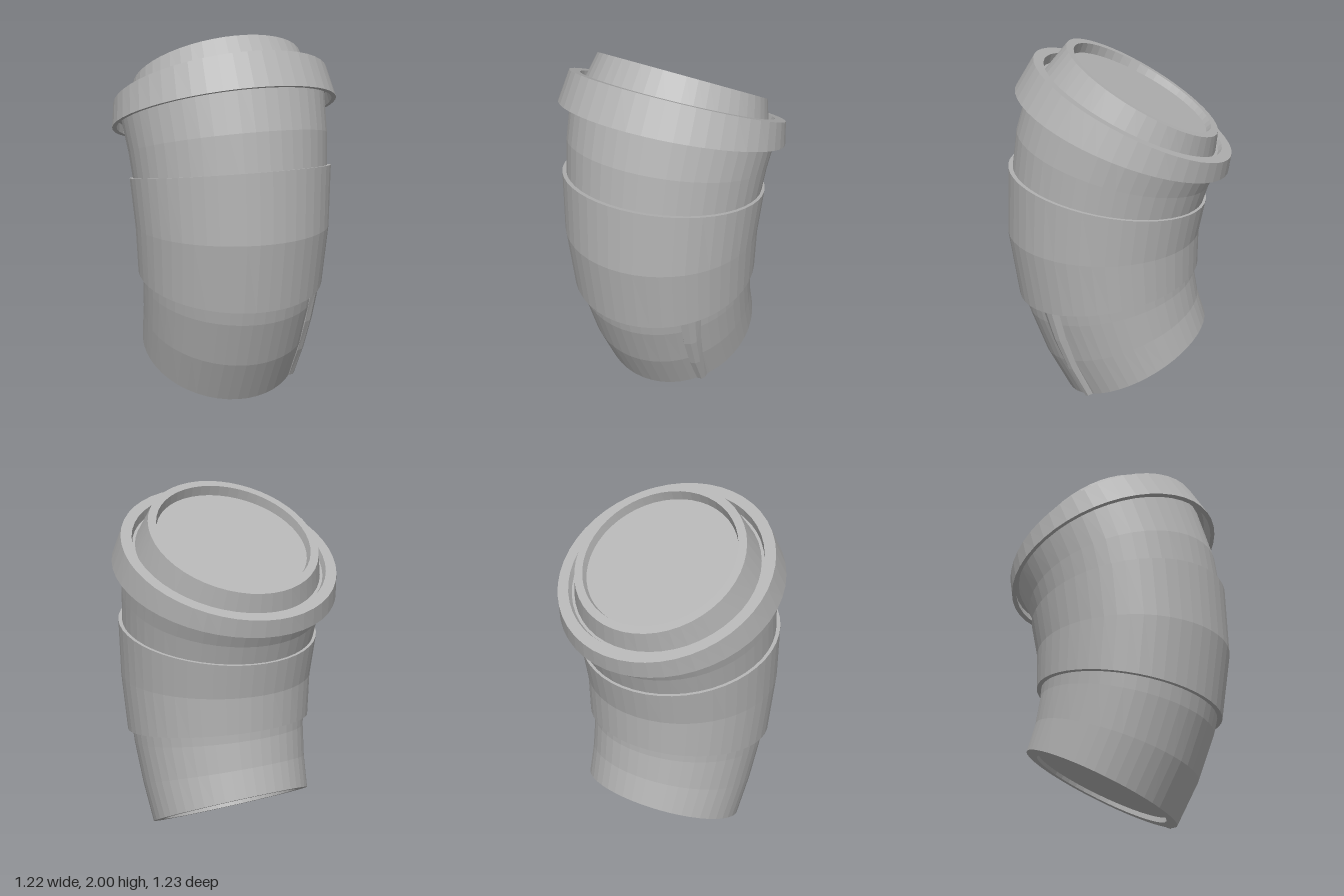
import * as THREE from 'three';

// The cup is built straight, with y as the arc length, then bent along a circular arc.
const R = 1.63;                                  // bend radius of the centre line
const MID = new THREE.Vector3(-0.05, 0.958, 0.08); // middle of the centre line
const D = { x: -0.51, z: 0.86 };                 // direction in which the cup bulges
const SIDES = 48;

function bend(geometry) {
  const p = geometry.attributes.position;
  for (let i = 0; i < p.count; i++) {
    const x = p.getX(i), z = p.getZ(i), a = p.getY(i) / R;
    const u = x * D.x + z * D.z;                 // along the bulge
    const v = x * D.z - z * D.x;                 // across the bulge
    const out = (R + u) * Math.cos(a) - R;
    p.setXYZ(i,
      MID.x + out * D.x + v * D.z,
      MID.y + (R + u) * Math.sin(a),
      MID.z + out * D.z - v * D.x);
  }
  const flat = geometry.toNonIndexed();
  flat.computeVertexNormals();
  return flat;
}

const lathe = (profile) =>
  new THREE.LatheGeometry(profile.map(([r, y]) => new THREE.Vector2(r, y)), SIDES);

// radius of the cup wall at height s
const wall = (s) => 0.448 + (s + 0.78) * 0.081;

export function createModel() {
  const group = new THREE.Group();
  const grey = new THREE.MeshStandardMaterial({ color: 0xb3b3b3 });
  grey.name = 'grey';
  const add = (name, geometry) => {
    const mesh = new THREE.Mesh(bend(geometry), grey);
    mesh.name = name;
    group.add(mesh);
  };

  // Cup wall with a recessed base
  const rows = [-0.78, -0.57, -0.36, -0.18, 0, 0.18, 0.44, 0.68];
  add('cup', lathe([
    [0, -0.755], [0.385, -0.755], [0.385, -0.78],
    ...rows.map((s) => [wall(s), s]),
  ]));

  // Sleeve around the middle
  add('sleeve', lathe([
    [0.48, -0.29], [0.513, -0.29], [0.533, 0], [0.553, 0.285], [0.525, 0.285],
  ]));

  // Lid: hollow brim, narrow groove, raised ring and sunken top
  add('lid', lathe([
    [0.54, 0.66], [0.588, 0.66], [0.595, 0.6], [0.62, 0.6],
    [0.595, 0.745], [0.535, 0.745], [0.525, 0.705], [0.51, 0.705],
    [0.47, 0.85], [0.425, 0.85], [0.415, 0.805], [0, 0.805],
  ]));

  // Raised seam on the lower front, widening upwards
  const seam = new THREE.BoxGeometry(2, 1, 1, 3, 3, 1);
  const p = seam.attributes.position;
  for (let i = 0; i < p.count; i++) {
    const across = p.getX(i), t = p.getY(i) + 0.5;
    const s = -0.779 + 0.5 * t;
    const azimuth = THREE.MathUtils.degToRad(16.5 + 1.8 * t + across * (4 + 3 * t));
    const height = p.getZ(i) < 0 ? -0.02 : Math.abs(across) < 0.9 ? 0.018 : 0.002;
    const r = wall(s) + height;
    p.setXYZ(i, r * Math.sin(azimuth), s, r * Math.cos(azimuth));
  }
  add('seam', seam);

  return group;
}
